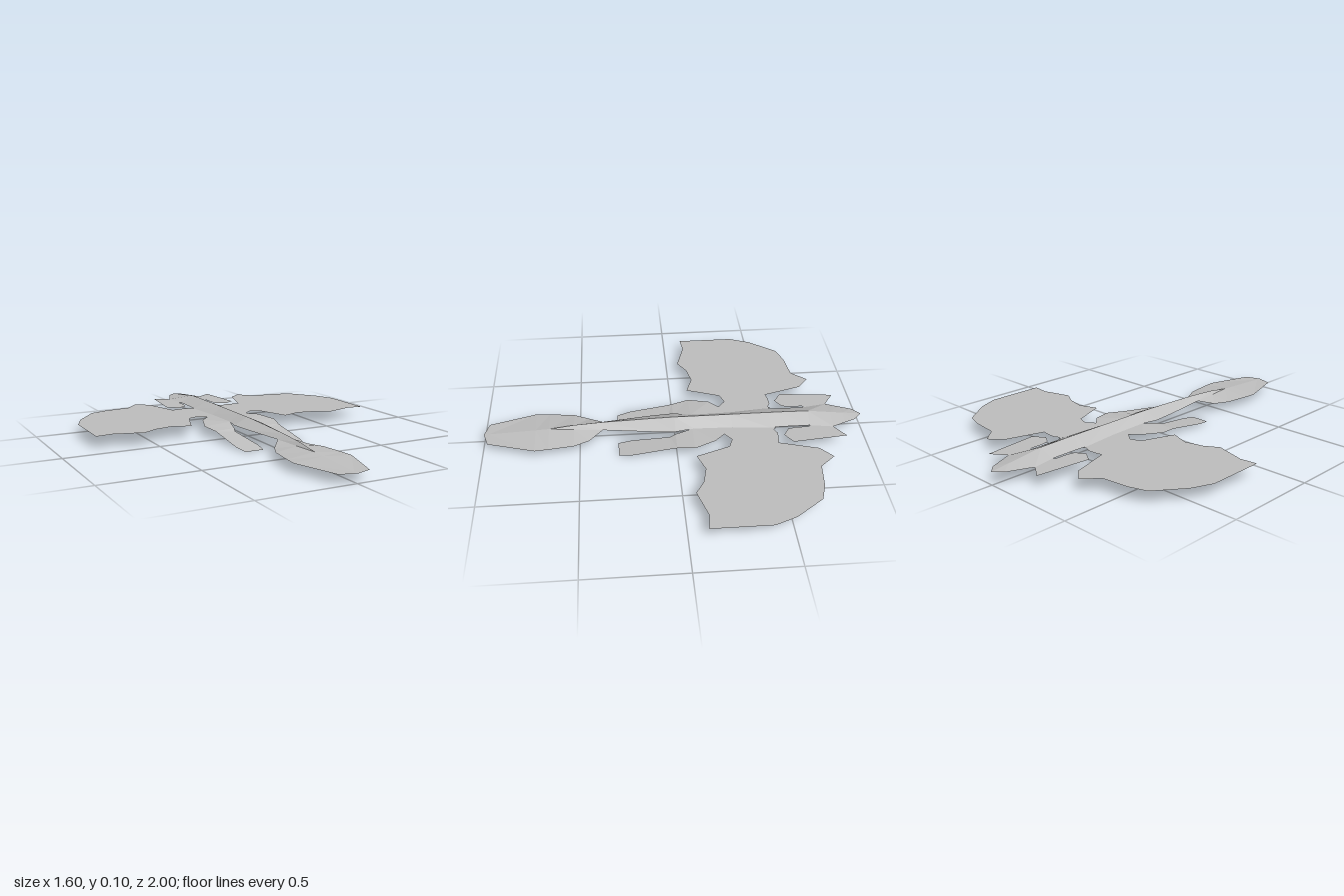
import * as THREE from 'three';

const paper = new THREE.MeshStandardMaterial({ color: 0xbfbfbf, side: THREE.DoubleSide, flatShading: true });
paper.name = 'grey paper';
const SHEET = 0.065; // height of the flat sheet

// Flat cut-out from [x, z] points
function cutout(points) {
  const shape = new THREE.Shape(points.map(([x, z]) => new THREE.Vector2(x, -z)));
  return new THREE.ShapeGeometry(shape).rotateX(-Math.PI / 2).translate(0, SHEET, 0);
}

// Folded strip: each section is [z, xInner, yInner, xOuter, yOuter]
function strip(sections) {
  const pos = [], index = [];
  sections.forEach(([z, xi, yi, xo, yo], i) => {
    pos.push(xi, yi, z, xo, yo, z);
    if (i) {
      const a = 2 * i - 2;
      index.push(a, a + 2, a + 1, a + 1, a + 2, a + 3);
    }
  });
  const g = new THREE.BufferGeometry();
  g.setAttribute('position', new THREE.Float32BufferAttribute(pos, 3));
  g.setIndex(index);
  g.computeVertexNormals();
  return g;
}

// Raised body, one side of the roof-like fold: [z, ridge height, half width]
const body = strip([
  [-1, 0.065, 0], [-0.96, 0.07, 0.045], [-0.9, 0.077, 0.07], [-0.83, 0.085, 0.1], [-0.71, 0.1, 0.08],
  [-0.55, 0.102, 0.08], [-0.5, 0.102, 0.085], [-0.3, 0.102, 0.065], [-0.1, 0.102, 0.06],
  [0, 0.102, 0.08], [0.12, 0.099, 0.07], [0.38, 0.09, 0.035], [0.53, 0.08, 0.017], [0.66, 0.062, 0],
].map(([z, ridge, half]) => [z, 0, ridge, half, z < 0.5 ? SHEET : 0.062]));

// Broad scalloped wing
const wing = cutout([
  [0.085, -0.53], [0.1, -0.515], [0.13, -0.53], [0.19, -0.525], [0.21, -0.52], [0.27, -0.72], [0.34, -0.78],
  [0.41, -0.7], [0.55, -0.685], [0.645, -0.655], [0.755, -0.51], [0.8, -0.4], [0.8, -0.095],
  [0.71, -0.105], [0.555, -0.06], [0.48, -0.105], [0.385, -0.125], [0.285, -0.09],
  [0.22, -0.265], [0.165, -0.285], [0.12, -0.25], [0.06, -0.25], [0.065, -0.3], [0.085, -0.5],
]);

// Small notched fin near the narrow end
const fin = cutout([
  [0.1, -0.83], [0.18, -0.885], [0.21, -0.6], [0.15, -0.56], [0.1, -0.59],
  [0.09, -0.63], [0.09, -0.7], [0.08, -0.71],
]);

// Leg flap bending downwards
const leg = strip([
  [-0.25, 0.06, 0.065, 0.12, 0.065], [-0.2, 0.06, 0.065, 0.17, 0.065], [-0.09, 0.06, 0.065, 0.21, 0.055],
  [0, 0.08, 0.05, 0.19, 0.045], [0.03, 0.09, 0.04, 0.188, 0.04], [0.23, 0.065, 0.01, 0.187, 0.01],
  [0.3, 0.07, 0, 0.17, 0],
]);

// Paddle with a shallow centre crease, opening beneath the body
const paddle = strip([
  [0.38, 0.034, 0.065, 0.036, 0.065], [0.45, 0.026, 0.064, 0.095, 0.045], [0.53, 0.017, 0.063, 0.133, 0.045],
  [0.66, 0, 0.062, 0.15, 0.045], [0.73, 0, 0.058, 0.157, 0.045], [0.975, 0, 0.046, 0.082, 0.045],
  [1, 0, 0.045, 0.002, 0.045],
]);

export function createModel() {
  const model = new THREE.Group();
  model.name = 'paperGlider';
  // Both halves are mirror images
  for (const [side, sign] of [['left', 1], ['right', -1]]) {
    const half = new THREE.Group();
    half.name = side + 'Half';
    half.scale.x = sign;
    for (const [name, geometry] of Object.entries({ body, wing, fin, leg, paddle })) {
      const mesh = new THREE.Mesh(geometry, paper);
      mesh.name = side + name[0].toUpperCase() + name.slice(1);
      half.add(mesh);
    }
    model.add(half);
  }
  return model;
}
